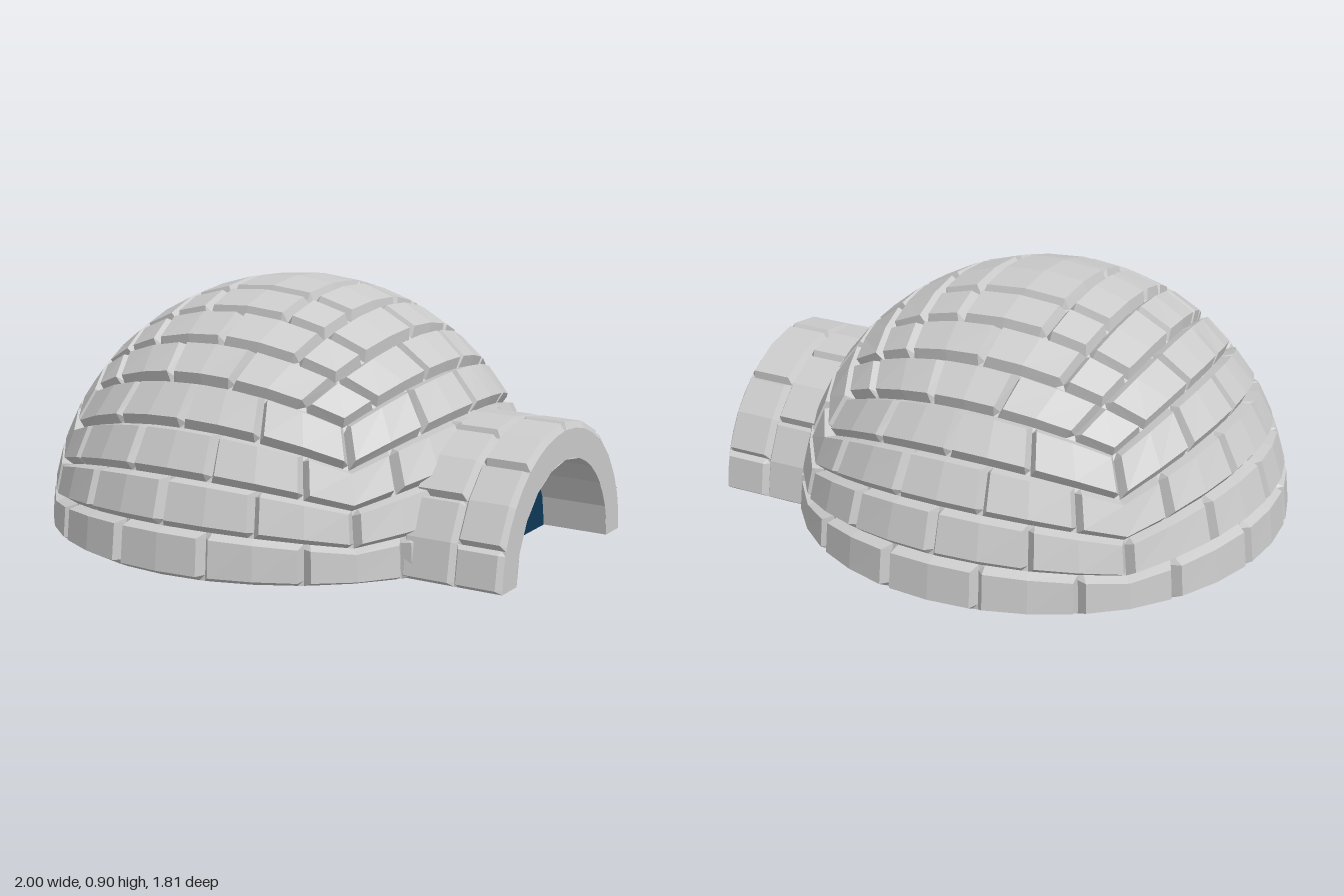
import * as THREE from 'three';
import { mergeGeometries } from 'three/addons/utils/BufferGeometryUtils.js';

const R = 0.905, CX = -0.095, GROOVE = 0.038; // dome radius, dome centre, joint depth
const STEP = 11.25, BEVEL = 1.4; // degrees
const TUNNEL_OUT = 0.49, TUNNEL_IN = 0.36, DOOR_X = 0.75;
const rad = THREE.MathUtils.degToRad;
const tan = (d) => Math.tan(rad(d));

const snow = new THREE.MeshStandardMaterial({ color: 0xcccccc, flatShading: true, side: THREE.DoubleSide });
const dark = new THREE.MeshStandardMaterial({ color: 0x0f3858, side: THREE.DoubleSide });

// Grid lines across a block: edge, bevel, optional steps, bevel, edge
function lines(a, b, bevel, step) {
  const out = [a, a + bevel];
  for (let m = a + step; m < b - step * 0.5; m += step) out.push(m);
  return [...out, b - bevel, b];
}

// Bevelled block face; place(u, v, onEdge) gives each vertex
function block(us, vs, place) {
  const pos = [], idx = [], n = us.length;
  vs.forEach((v, j) => us.forEach((u, i) => {
    const edge = i === 0 || j === 0 || i === n - 1 || j === vs.length - 1;
    pos.push(...place(u, v, edge).toArray());
    if (i && j) {
      const d = j * n + i, c = d - 1, b = d - n, a = b - 1;
      idx.push(a, b, d, a, d, c);
    }
  }));
  const g = new THREE.BufferGeometry();
  g.setAttribute('position', new THREE.Float32BufferAttribute(pos, 3));
  g.setIndex(idx);
  g.computeVertexNormals();
  return g;
}

// Direction to a dome vertex, kept behind the door inside the tunnel
function onDome(dir, edge) {
  const p = dir.setLength(edge ? R - GROOVE : R);
  p.x += CX;
  if (p.x > DOOR_X - 0.02 && Math.hypot(p.y, p.z) < 0.45) p.x = DOOR_X - 0.02;
  return p;
}

const UP = new THREE.Vector3(0, 1, 0);
const sidePoint = (a, e, edge) => {
  const k = Math.round(a / 90);
  const dir = new THREE.Vector3(tan(a - 90 * k), tan(e), 1).applyAxisAngle(UP, k * Math.PI / 2);
  return onDome(dir, edge);
};
const topPoint = (k) => (u, v, edge) =>
  onDome(new THREE.Vector3(tan(u), 1, -tan(v)).applyAxisAngle(UP, k * Math.PI / 2), edge);

// Blocks that lie wholly in the doorway are left out
function inDoorway(g) {
  const p = g.attributes.position;
  for (let i = 0; i < p.count; i++) {
    if (p.getX(i) < 0.5 || Math.hypot(p.getY(i), p.getZ(i)) > 0.47) return false;
  }
  return true;
}

export function createModel() {
  const model = new THREE.Group();
  model.name = 'igloo';
  const add = (name, geo, mat = snow, parent = model) => {
    const m = new THREE.Mesh(geo, mat);
    m.name = name;
    parent.add(m);
    return m;
  };

  const dome = new THREE.Group();
  dome.name = 'dome';
  model.add(dome);

  // Lower four rows: sixteen staggered blocks each
  for (let r = 0; r < 4; r++) {
    const row = [];
    for (let i = 0; i < 16; i++) {
      const a = i * 2 * STEP + (r % 2 ? 0 : STEP);
      row.push(block(lines(a, a + 2 * STEP, BEVEL, STEP),
        lines(r * STEP, (r + 1) * STEP, BEVEL, STEP), sidePoint));
    }
    add('domeRow' + (r + 1), mergeGeometries(row.filter((g) => !inDoorway(g))), snow, dome);
  }

  // Upper three rows: square rings with a small block at each corner
  for (let r = 4; r < 7; r++) {
    const row = [], outer = 45 - (r - 4) * STEP, inner = outer - STEP;
    const vs = lines(inner, outer, BEVEL, STEP);
    for (let k = 0; k < 4; k++) {
      row.push(block(vs, vs, topPoint(k)));
      for (let a = -inner; a < inner - 1; a += 2 * STEP) {
        row.push(block(lines(a, a + 2 * STEP, BEVEL, STEP), vs, topPoint(k)));
      }
    }
    add('domeRow' + (r + 1), mergeGeometries(row), snow, dome);
  }

  // Cap block
  const cap = lines(-STEP, STEP, BEVEL, STEP);
  add('capBlock', block(cap, cap, topPoint(0)), snow, dome);

  // Entrance tunnel: two rings of staggered arch blocks
  const tunnel = new THREE.Group();
  tunnel.name = 'entranceTunnel';
  model.add(tunnel);
  const start = 0.62, rim = TUNNEL_OUT - 0.025;
  const archPoint = (u, x, edge) => {
    const r = edge ? rim : TUNNEL_OUT;
    return new THREE.Vector3(x, r * Math.sin(rad(u)), -r * Math.cos(rad(u)));
  };
  const rings = [
    { name: 'innerArch', x0: start, x1: 0.82, joints: [0, 36, 72, 108, 144, 180] },
    { name: 'outerArch', x0: 0.82, x1: 1, joints: [0, 18, 54, 90, 126, 162, 180] },
  ];
  for (const { name, x0, x1, joints } of rings) {
    const blocks = joints.slice(1).map((b, i) =>
      block(lines(joints[i], b, 2, 18), lines(x0, x1, 0.016, 1), archPoint));
    add(name, mergeGeometries(blocks), snow, tunnel);
  }

  // Tunnel lining
  const lining = new THREE.CylinderGeometry(TUNNEL_IN, TUNNEL_IN, 1 - start, 10, 1, true, 0, Math.PI);
  lining.rotateZ(Math.PI / 2).rotateX(0);
  lining.computeBoundingBox();
  if (lining.boundingBox.max.y < 0.1) lining.rotateX(Math.PI);
  add('tunnelLining', lining, snow, tunnel).position.x = (1 + start) / 2;

  // Flat ends of the tunnel wall
  for (const x of [start, 1]) {
    const ring = new THREE.RingGeometry(TUNNEL_IN, rim, 20, 1, 0, Math.PI).rotateY(Math.PI / 2);
    add('tunnelEnd', ring, snow, tunnel).position.x = x;
  }

  // Undersides of the tunnel wall
  for (const s of [-1, 1]) {
    const foot = new THREE.PlaneGeometry(1 - start, rim - TUNNEL_IN).rotateX(Math.PI / 2);
    add('tunnelFoot', foot, snow, tunnel).position.set((1 + start) / 2, 0, s * (rim + TUNNEL_IN) / 2);
  }

  // Dark doorway
  const door = new THREE.CircleGeometry(TUNNEL_IN, 10, 0, Math.PI).rotateY(Math.PI / 2);
  add('doorway', door, dark).position.x = DOOR_X;

  return model;
}
